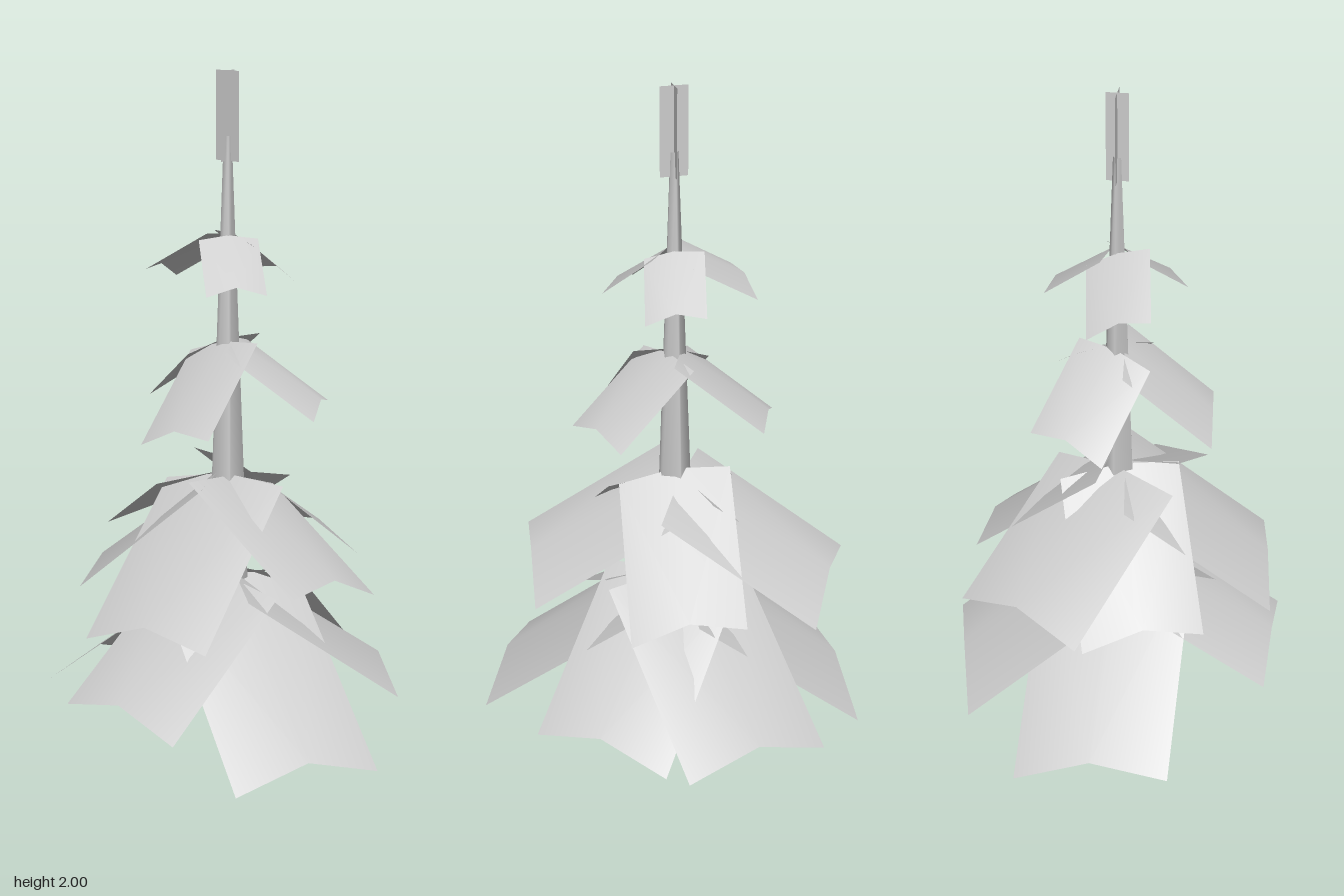
import * as THREE from 'three';

const material = new THREE.MeshStandardMaterial({ color: 0xcccccc, side: THREE.DoubleSide });
const AXIS_X = 0.02, AXIS_Z = -0.02;

// Tiers of boughs, each bough as [heading in degrees from +z to +x,
// reach, width, inner height, outer height, roll]
const TIERS = {
  lowestBough: [
    [-47.5, 0.49, 0.414, 0.475, 0.185, 0],
    [16.5, 0.552, 0.45, 0.48, 0.065, -0.02],
    [93.8, 0.488, 0.426, 0.48, 0.13, -0.015],
    [149.6, 0.5, 0.47, 0.485, 0.09, -0.05],
    [-136.4, 0.54, 0.47, 0.465, 0.035, 0.07],
  ],
  lowerBough: [
    [-165, 0.48, 0.435, 0.795, 0.515, 0.03],
    [126, 0.408, 0.33, 0.838, 0.52, 0.04],
    [37, 0.432, 0.357, 0.795, 0.55, -0.09],
    [-38.2, 0.463, 0.4, 0.8, 0.44, 0.04],
    [-116.9, 0.41, 0.36, 0.81, 0.46, 0.02],
  ],
  upperBough: [
    [-159.2, 0.276, 0.24, 1.215, 1.03, -0.035],
    [-40.6, 0.277, 0.23, 1.215, 0.99, 0.05],
    [68.4, 0.28, 0.23, 1.215, 1.035, 0],
  ],
  topBough: [
    [0, 0.185, 0.17, 1.53, 1.4, 0],
    [-126.3, 0.22, 0.175, 1.53, 1.41, 0.05],
    [121.5, 0.19, 0.168, 1.53, 1.4, 0.02],
  ],
};

// A drooping card with a ridge that grows towards its outer edge
function boughGeometry([heading, reach, width, innerY, outerY, roll]) {
  const a = THREE.MathUtils.degToRad(heading);
  const points = [];
  for (const [r, y, ridge] of [[0.02, innerY, 0.07], [reach, outerY, 0.15]]) {
    for (const s of [-0.5, 0, 0.5]) {
      points.push(
        AXIS_X + Math.sin(a) * r + Math.cos(a) * s * width,
        y + roll * s + (s === 0 ? ridge * width : 0),
        AXIS_Z + Math.cos(a) * r - Math.sin(a) * s * width);
    }
  }
  const geometry = new THREE.BufferGeometry();
  geometry.setAttribute('position', new THREE.Float32BufferAttribute(points, 3));
  geometry.setIndex([0, 3, 4, 0, 4, 1, 1, 4, 2, 2, 4, 5]);
  geometry.computeVertexNormals();
  return geometry;
}

export function createModel() {
  const model = new THREE.Group();
  model.name = 'coniferTree';
  const add = (name, geometry) => {
    const mesh = new THREE.Mesh(geometry, material);
    mesh.name = name;
    model.add(mesh);
    return mesh;
  };

  // Tapered five-sided trunk, open at both ends
  const bottom = 0.31, tip = 1.82;
  add('trunk', new THREE.CylinderGeometry(0.012, 0.07, tip - bottom, 5, 1, true))
    .position.set(AXIS_X, (bottom + tip) / 2, AXIS_Z);

  // Four tiers of boughs
  for (const [name, boughs] of Object.entries(TIERS)) {
    boughs.forEach((bough, i) => add(name + (i + 1), boughGeometry(bough)));
  }

  // Crossed cards at the tip
  [0.0625, 0.08].forEach((width, i) => {
    const card = add('tipCard' + (i + 1), new THREE.PlaneGeometry(width, 0.25));
    card.position.set(AXIS_X, 1.875, AXIS_Z);
    card.rotation.y = Math.PI / 4 - i * Math.PI / 2;
  });
  return model;
}
